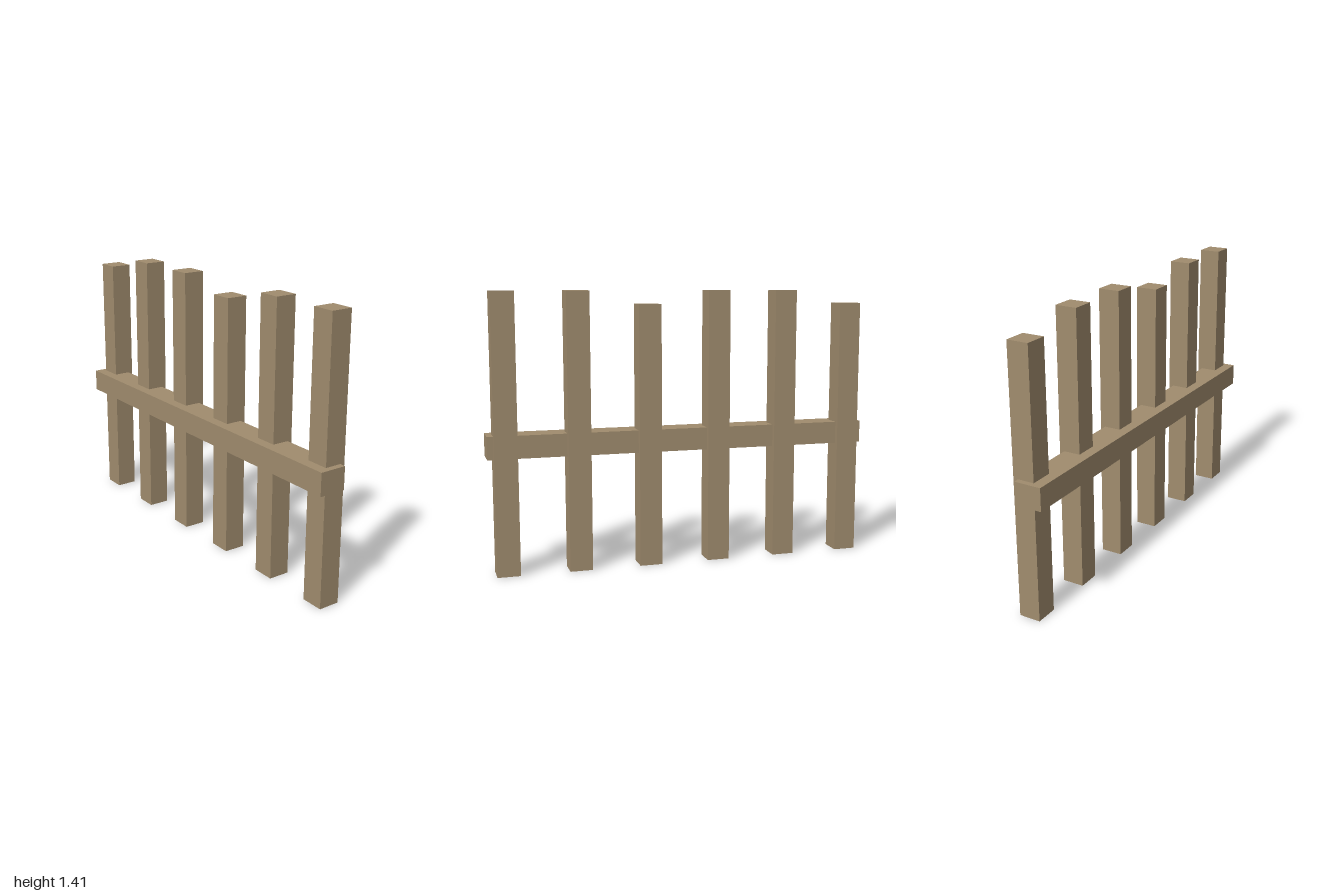
import * as THREE from 'three';

export function createModel() {
  const wood = new THREE.MeshStandardMaterial({ color: 0xa08c6e });
  wood.name = 'wood';
  const fence = new THREE.Group();
  fence.name = 'fence';

  // Box standing on height y, centred on x and z
  const addBeam = (name, w, h, d, x, y, z) => {
    const mesh = new THREE.Mesh(new THREE.BoxGeometry(w, h, d), wood);
    mesh.name = name;
    mesh.position.set(x, y + h / 2, z);
    fence.add(mesh);
  };

  // Evenly spaced posts, every third one shorter
  for (let i = 0; i < 6; i++) {
    const height = i % 3 === 0 ? 1.34 : 1.408;
    addBeam(`post${i + 1}`, 0.116, height, 0.11, -0.914 + i * 0.365, 0, -0.027);
  }

  // Horizontal rail partly sunk into the fronts of the posts
  addBeam('rail', 2, 0.115, 0.139, 0, 0.588, 0.0125);

  return fence;
}
